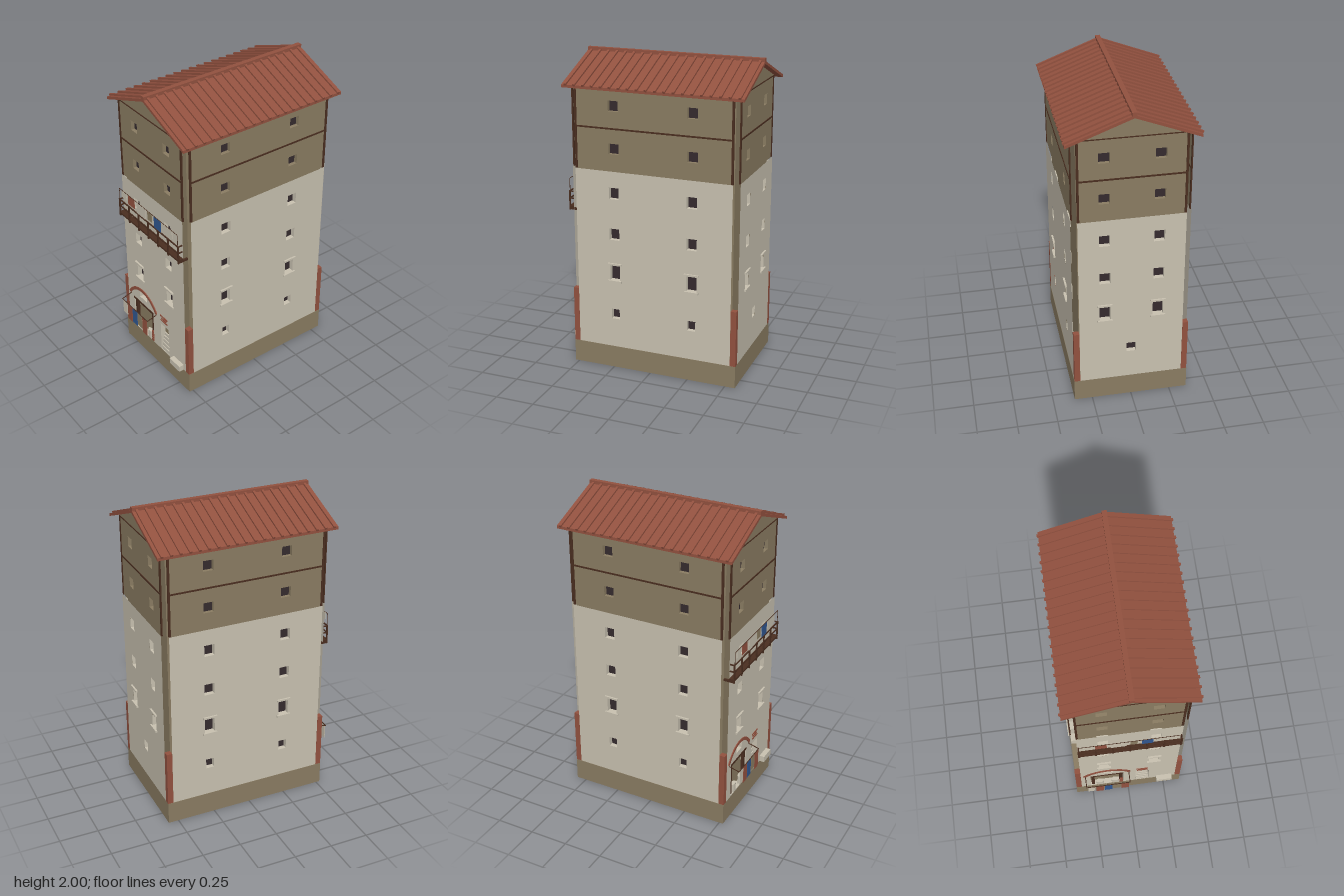
import * as THREE from 'three';

const mat = (name, color, side = THREE.FrontSide) => {
  const m = new THREE.MeshStandardMaterial({ color, side });
  m.name = name;
  return m;
};
const plaster = mat('cream plaster', 0xc8c1b0, THREE.DoubleSide);
const mud = mat('olive render', 0x8a7c62, THREE.DoubleSide);
const red = mat('red tile', 0x92513f, THREE.DoubleSide);
const timber = mat('dark timber', 0x4a2e20);
const dark = mat('dark opening', 0x352b2e);
const blue = mat('blue cloth', 0x30568f, THREE.DoubleSide);

function add(parent, name, geo, material) {
  const m = new THREE.Mesh(geo, material);
  m.name = name;
  parent.add(m);
  return m;
}
// Box given by its min and max on each axis
function box(parent, name, material, x0, x1, y0, y1, z0, z1) {
  const m = add(parent, name, new THREE.BoxGeometry(x1 - x0, y1 - y0, z1 - z0), material);
  m.position.set((x0 + x1) / 2, (y0 + y1) / 2, (z0 + z1) / 2);
  return m;
}
// Thin round bar between two points
function bar(parent, name, a, b, r, material = timber) {
  return add(parent, name, new THREE.TubeGeometry(
    new THREE.LineCurve3(new THREE.Vector3(...a), new THREE.Vector3(...b)), 1, r, 6), material);
}
function rect(Type, x0, x1, y0, y1) {
  const s = new Type();
  s.moveTo(x0, y0); s.lineTo(x1, y0); s.lineTo(x1, y1); s.lineTo(x0, y1); s.closePath();
  return s;
}

// Plate facing +z with openings [x, y, w, h, kind] and the reveals behind them
function wall(parent, name, material, half, y0, y1, depth, openings) {
  const shape = rect(THREE.Shape, -half, half, y0, y1);
  for (const [x, y, w, h, kind] of openings) {
    const e = [x - w / 2, x + w / 2, y - h / 2, y + h / 2];
    shape.holes.push(rect(THREE.Path, ...e));
    const ring = rect(THREE.Shape, e[0] - 0.002, e[1] + 0.002, e[2] - 0.002, e[3] + 0.002);
    ring.holes.push(rect(THREE.Path, ...e));
    const reveal = add(parent, 'reveal',
      new THREE.ExtrudeGeometry(ring, { depth: depth - 0.001, bevelEnabled: false }), material);
    reveal.position.z = -depth;
    if (kind !== 'door') box(parent, 'windowPane', dark, ...e, -depth, -depth + 0.004);
    if (kind === 'sill') for (const yy of [e[2] - 0.006, e[3] + 0.008])
      box(parent, 'windowLedge', material, e[0] - 0.013, e[1] + 0.013, yy - 0.006, yy + 0.006, -0.005, 0.012);
  }
  add(parent, name, new THREE.ShapeGeometry(shape), material);
}

const HX = 0.325, HZ = 0.51, OUT = 0.036, UP = 0.029;

function buildFace(tower, name, angle, half, core, wx, extra) {
  const face = new THREE.Group();
  face.name = name;
  face.rotation.y = angle;
  tower.add(face);
  const pair = (y, h, kind) => [-wx, wx].map(x => [x, y, 0.066, h, kind]);
  const lower = new THREE.Group(), upper = new THREE.Group();
  lower.name = 'lowerWall'; upper.name = 'upperWall';
  lower.position.z = core + OUT;
  upper.position.z = core + UP;
  face.add(lower, upper);
  wall(lower, 'plasterWall', plaster, half, 0.145, 1.31, OUT,
    [...pair(1.17, 0.074), ...pair(0.905, 0.074), ...pair(0.65, 0.1, 'sill'), ...extra]);
  wall(upper, 'renderWall', mud, half, 1.31, 1.835, UP, [...pair(1.715, 0.066), ...pair(1.45, 0.066)]);
  // Timber frame on the upper storeys
  for (const s of [-1, 1]) {
    const x = s * (half - 0.006);
    box(upper, 'cornerTimber', timber, x - 0.007, x + 0.007, 1.31, 1.835, -0.004, 0.004);
  }
  box(upper, 'floorBeam', timber, -half, half, 1.571, 1.581, -0.003, 0.004);
  box(upper, 'topBeam', timber, -half, half, 1.832, 1.838, -0.003, 0.004);
  return face;
}

function buildRoof(g) {
  const roof = new THREE.Group();
  roof.name = 'roof';
  g.add(roof);
  const z0 = -0.6, z1 = 0.555, ex = 0.393, eave = 1.832, top = 1.984, t = 0.018;
  const s = new THREE.Shape();
  [[-ex, eave], [-ex, eave - t], [0, top - t], [ex, eave - t], [ex, eave], [0, top]]
    .forEach(([x, y], i) => (i ? s.lineTo(x, y) : s.moveTo(x, y)));
  add(roof, 'roofSlab', new THREE.ExtrudeGeometry(s, { depth: z1 - z0, bevelEnabled: false }), red).position.z = z0;
  const slope = Math.atan2(top - eave, ex), len = Math.hypot(top - eave, ex);
  for (const side of [-1, 1]) for (let i = 0; i < 20; i++) {
    const rib = add(roof, 'tileRib', new THREE.BoxGeometry(len + 0.008, 0.014, 0.015), red);
    rib.position.set(side * (ex / 2 + 0.003), (top + eave) / 2 + 0.003, -0.573 + i * 0.0579);
    rib.rotation.z = -side * slope;
  }
  box(roof, 'ridgeCap', red, -0.015, 0.015, 1.972, 2, z0, z1);
  // Gable triangles
  const gable = new THREE.Shape();
  gable.moveTo(-0.345, 1.833); gable.lineTo(0.345, 1.833); gable.lineTo(0, 1.968);
  for (const z of [-0.02 - HZ - UP, -0.02 + HZ + UP])
    add(roof, 'gable', new THREE.ShapeGeometry(gable), mud).position.z = z;
}

function buildBalcony(g) {
  const b = new THREE.Group();
  b.name = 'balcony';
  g.add(b);
  const zf = 0.556;
  box(b, 'balconyFloor', timber, -HX, HX, 1.035, 1.047, 0.526, 0.56);
  for (let i = 0; i < 7; i++) {
    const x = -0.319 + i * 0.1063;
    box(b, 'railPost', timber, x - 0.005, x + 0.005, 1.02, 1.145, zf - 0.004, zf + 0.004);
    box(b, 'floorJoist', timber, x - 0.006, x + 0.006, 1.022, 1.036, 0.49, 0.56);
  }
  for (const y of [1.095, 1.141]) {
    box(b, 'frontRail', timber, -HX, HX, y - 0.004, y + 0.004, zf - 0.003, zf + 0.003);
    for (const x of [-0.319, 0.319])
      box(b, 'endRail', timber, x - 0.003, x + 0.003, y - 0.004, y + 0.004, 0.526, zf);
  }
  // Washing line
  bar(b, 'washingLine', [-0.315, 1.224, zf], [0.315, 1.224, zf], 0.002);
  for (const x of [-0.315, 0.315]) bar(b, 'linePole', [x, 1.14, zf], [x, 1.224, zf], 0.002);
  for (const [x0, x1, y, m] of [[-0.29, -0.235, 1.175, plaster], [-0.215, -0.145, 1.16, red],
    [-0.12, -0.025, 1.147, plaster], [0, 0.044, 1.165, mud], [0.07, 0.14, 1.146, blue], [0.16, 0.26, 1.167, plaster]])
    box(b, 'washing', m, x0, x1, y, 1.222, zf - 0.002, zf + 0.002);
}

function buildEntrance(g) {
  const e = new THREE.Group();
  e.name = 'entrance';
  g.add(e);
  const zw = -0.02 + HZ + OUT, zc = -0.02 + HZ;
  // Red arch over the shop front
  const a = Math.PI / 3, c = Math.PI / 2, arch = new THREE.Shape();
  arch.absarc(0, 0, 0.186, c - a, c + a, false);
  arch.absarc(0, 0, 0.166, c + a, c - a, true);
  add(e, 'arch', new THREE.ExtrudeGeometry(arch, { depth: 0.01, bevelEnabled: false, curveSegments: 16 }), red)
    .position.set(-0.148, 0.322, zw - 0.004);
  // Shop posts, lintel, jars and stacked goods
  for (const x of [-0.243, -0.05])
    box(e, 'shopPost', timber, x - 0.011, x + 0.011, 0.15, 0.385, zc + 0.012, zw - 0.006);
  box(e, 'shopLintel', timber, -0.26, -0.035, 0.378, 0.392, zc + 0.012, zw + 0.003);
  for (const x of [-0.195, -0.09]) {
    const jar = add(e, 'jar', new THREE.CylinderGeometry(0.028, 0.026, 0.058, 14), plaster);
    jar.scale.z = 0.5;
    jar.position.set(x, 0.179, zw - 0.012);
  }
  for (let i = 0; i < 4; i++)
    box(e, 'stackedGoods', red, -0.06, -0.038, 0.15 + i * 0.021, 0.166 + i * 0.021, zw - 0.015, zw + 0.002);
  // Awning frame with hanging cloths
  const zf = 0.597;
  bar(e, 'awningBar', [-0.296, 0.38, zf], [0.003, 0.38, zf], 0.003);
  for (const x of [-0.294, 0.001]) bar(e, 'awningArm', [x, 0.4, zw - 0.005], [x, 0.38, zf], 0.003);
  for (const [x0, x1, y, m] of [[-0.284, -0.236, 0.28, plaster], [-0.23, -0.178, 0.258, red],
    [-0.172, -0.12, 0.262, blue], [-0.114, -0.064, 0.28, mud], [-0.057, -0.006, 0.256, red]])
    box(e, 'hangingCloth', m, x0, x1, y, 0.38, zf - 0.002, zf + 0.002);
  // Stair door, red plaque bars and bench
  for (let i = 0; i < 5; i++)
    box(e, 'step', plaster, 0.05, 0.138, 0.15 + i * 0.025, 0.175 + i * 0.025, zc, zw - 0.004 - i * 0.006);
  [[0.05, 0.132], [0.062, 0.12], [0.056, 0.13]].forEach(([x0, x1], i) =>
    box(e, 'plaqueBar', red, x0, x1, 0.43 - i * 0.017, 0.439 - i * 0.017, zw - 0.002, zw + 0.004));
  box(e, 'bench', plaster, 0.193, 0.3, 0.145, 0.186, zw - 0.002, 0.56);
}

export function createModel() {
  const g = new THREE.Group();
  g.name = 'towerHouse';
  const tower = new THREE.Group();
  tower.name = 'tower';
  tower.position.z = -0.02;
  g.add(tower);

  box(tower, 'plinth', mud, -0.363, 0.363, 0, 0.145, -0.546, 0.546);
  box(tower, 'core', mud, -HX, HX, 0.145, 1.835, -HZ, HZ);

  // Four faces with notched corners between them
  const front = [[-0.147, 0.456, 0.084, 0.05], [-0.1475, 0.27, 0.225, 0.24, 'door'], [0.094, 0.2575, 0.092, 0.215, 'door']];
  const side = [-0.255, 0.255].map(x => [x, 0.37, 0.055, 0.066]);
  buildFace(tower, 'frontFace', 0, HX, HZ, 0.165, front);
  buildFace(tower, 'backFace', Math.PI, HX, HZ, 0.165, [[0, 0.37, 0.06, 0.066]]);
  buildFace(tower, 'leftFace', Math.PI / 2, HZ, HX, 0.255, side);
  buildFace(tower, 'rightFace', -Math.PI / 2, HZ, HX, 0.255, side);

  // Red corner guards in the notches
  for (const sx of [-1, 1]) for (const sz of [-1, 1]) {
    const guard = box(tower, 'cornerGuard', red, -0.018, 0.018, 0.145, 0.51, -0.018, 0.018);
    guard.position.x = sx * (HX + 0.0185);
    guard.position.z = sz * (HZ + 0.0185);
  }

  buildRoof(g);
  buildBalcony(g);
  buildEntrance(g);
  return g;
}
